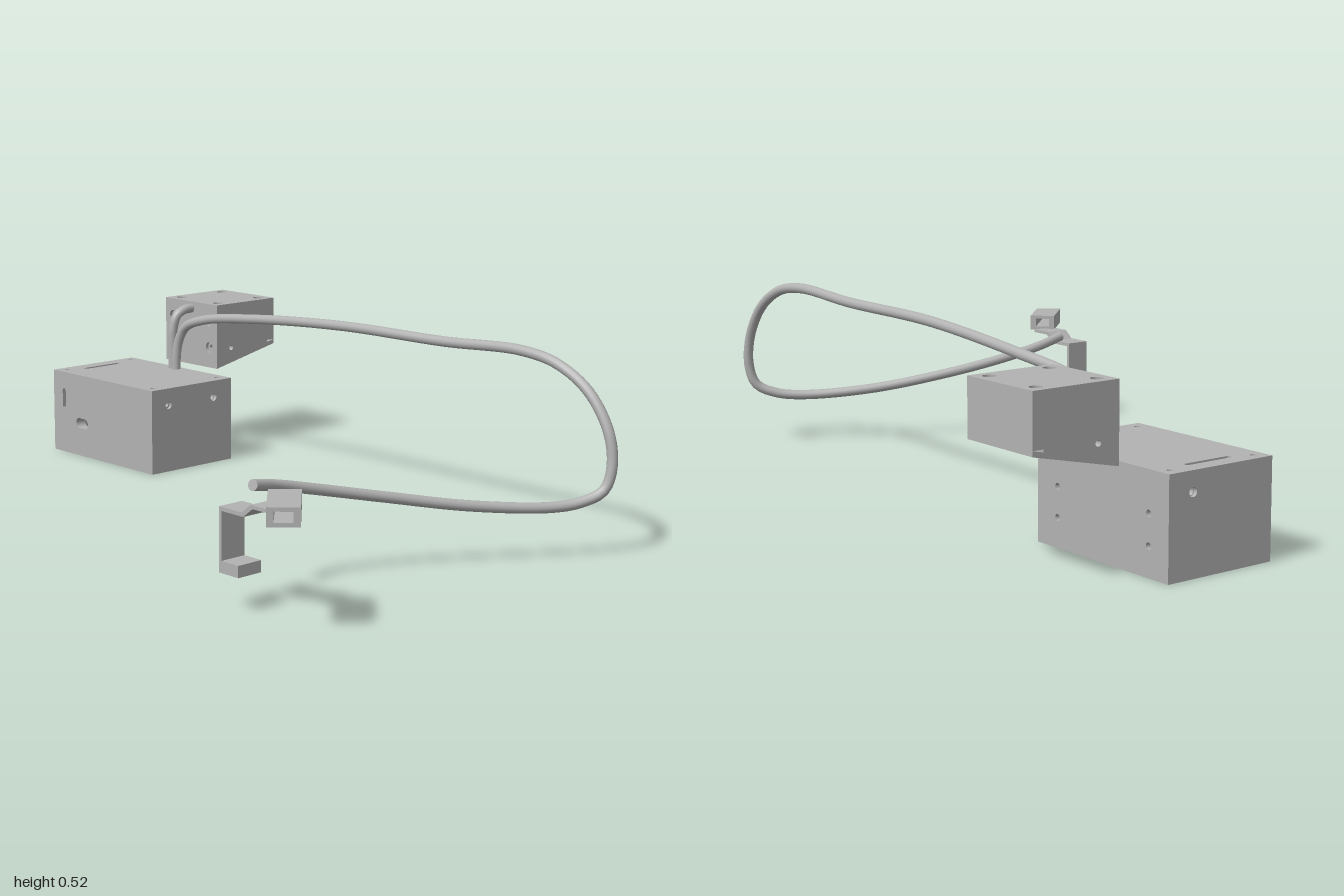
import * as THREE from 'three';

const grey = new THREE.MeshStandardMaterial({ color: 0xb2b2b2 });
grey.name = 'plain grey';

function add(parent, name, geometry) {
  const mesh = new THREE.Mesh(geometry, grey);
  mesh.name = name;
  parent.add(mesh);
  return mesh;
}

// Round-ended opening (a circle when w equals h)
function opening(u, v, w, h) {
  const r = Math.min(w, h) / 2, a = w / 2 - r, b = h / 2 - r;
  const p = new THREE.Path();
  const wide = w >= h;
  const s = wide ? 0 : Math.PI / 2;
  p.absarc(u + a, v + b, r, s - (wide ? Math.PI / 2 : Math.PI / 2), s + Math.PI / 2, false);
  p.absarc(u - a, v - b, r, s + Math.PI / 2, s + Math.PI * 1.5, false);
  p.closePath();
  return p;
}

function extrude(points, holes, depth) {
  const shape = new THREE.Shape(points.map(([u, v]) => new THREE.Vector2(u, v)));
  for (const h of holes) shape.holes.push(opening(...h));
  return new THREE.ExtrudeGeometry(shape, { depth, bevelEnabled: false, curveSegments: 10 });
}

const rect = (u0, u1, v0, v1) => [[u0, v0], [u1, v0], [u1, v1], [u0, v1]];

// Wall in absolute coordinates: z walls use (x, y), y walls (x, -z), x walls (-z, y).
// "at" is the lower coordinate; holes are [u, v, w, h, counterbore].
function wall(parent, name, axis, at, t, points, holes = [], outward = 1) {
  const g = new THREE.Group();
  g.name = name;
  const lip = 0.01;
  const inner = holes.map(([u, v, w, h]) => [u, v, w, h]);
  const outer = holes.map(([u, v, w, h, bore]) => [u, v, bore || w, bore || h]);
  const a = add(g, name + 'Core', extrude(points, inner, t - lip));
  const b = add(g, name + 'Skin', extrude(points, outer, lip));
  if (outward > 0) b.position.z = t - lip;
  else a.position.z = lip;
  if (axis === 'y') g.rotation.x = -Math.PI / 2;
  if (axis === 'x') g.rotation.y = Math.PI / 2;
  g.position[axis] = at;
  parent.add(g);
}

function cable(parent, name, pts, segments) {
  const curve = new THREE.CatmullRomCurve3(pts.map(p => new THREE.Vector3(...p)), false, 'centripetal');
  const r = 0.0145;
  add(parent, name, new THREE.TubeGeometry(curve, segments, r, 14, false));
  for (const [t, sign] of [[0, -1], [1, 1]]) {
    const cap = add(parent, name + 'End', new THREE.CircleGeometry(r, 14));
    cap.position.copy(curve.getPointAt(t));
    cap.quaternion.setFromUnitVectors(new THREE.Vector3(0, 0, 1), curve.getTangentAt(t).multiplyScalar(sign));
  }
}

export function createModel() {
  const model = new THREE.Group();
  model.name = 'cabledEnclosures';

  // Large housing, open underneath
  const base = new THREE.Group();
  base.name = 'largeHousing';
  model.add(base);
  const x0 = -1, x1 = -0.512, z0 = -0.445, z1 = -0.12, top = 0.26, t = 0.035;
  const corners = [];
  for (const x of [-0.968, -0.545]) for (const z of [-0.415, -0.152]) corners.push([x, -z, 0.016, 0.016]);
  wall(base, 'top', 'y', top - t, t, rect(x0, x1, -z1, -z0), [...corners, [-0.947, 0.277, 0.015, 0.145]]);
  wall(base, 'front', 'z', z1 - t, t, rect(x0, x1, 0, top - t),
    [[-0.947, 0.173, 0.016, 0.066], [-0.857, 0.105, 0.06, 0.032]]);
  const backHoles = [];
  for (const x of [-0.93, -0.59]) for (const y of [0.077, 0.155]) backHoles.push([x, y, 0.018, 0.018]);
  wall(base, 'back', 'z', z0, t, rect(x0, x1, 0, top - t), backHoles, -1);
  const side = rect(-z1 + t, -z0 - t, 0, top - t);
  const sideHoles = [[0.187, 0.208, 0.014, 0.014, 0.024], [0.371, 0.208, 0.02, 0.02, 0.024]];
  wall(base, 'leftSide', 'x', x1 - t, t, side, sideHoles);
  wall(base, 'rightSide', 'x', x0, t, side, [sideHoles[1]], -1);

  // Small housing with a sloping lid underneath
  const box = new THREE.Group();
  box.name = 'smallHousing';
  model.add(box);
  const a0 = -0.882, a1 = -0.634, b0 = -0.745, b1 = -0.495, high = 0.47, s = 0.03, lid = 0.014;
  const slope = z => 0.265 + (b1 - z) * 0.22;
  const screws = [];
  for (const x of [-0.846, -0.67]) for (const z of [-0.708, -0.532]) screws.push([x, -z, 0.016, 0.016, 0.033]);
  wall(box, 'top', 'y', high - s, s, rect(a0, a1, -b1, -b0), screws);
  const ports = [];
  for (const x of [-0.846, -0.67]) for (const y of [0.33, 0.415]) ports.push([x, y, 0.016, 0.016, 0.033]);
  wall(box, 'front', 'z', b1 - s, s, rect(a0, a1, slope(b1) + lid, high - s), ports);
  wall(box, 'back', 'z', b0, s, rect(a0, a1, slope(b0) + lid, high - s), [], -1);
  const cheek = [[-b1 + s, slope(b1 - s) + lid], [-b0 - s, slope(b0 + s) + lid], [-b0 - s, high - s], [-b1 + s, high - s]];
  wall(box, 'leftSide', 'x', a1 - s, s, cheek, [[0.557, 0.327, 0.016, 0.016]]);
  wall(box, 'rightSide', 'x', a0, s, cheek, [[0.557, 0.327, 0.016, 0.016]], -1);
  wall(box, 'lid', 'x', a0, a1 - a0,
    [[-b1, slope(b1)], [-b0, slope(b0)], [-b0, slope(b0) + lid], [-b1, slope(b1) + lid]]);

  // Short cable between the housings
  cable(model, 'shortCable', [
    [-0.768, 0.18, -0.425], [-0.768, 0.3, -0.425], [-0.765, 0.39, -0.425], [-0.76, 0.43, -0.437],
    [-0.757, 0.446, -0.465], [-0.757, 0.448, -0.51]], 40);

  // Long looping cable
  cable(model, 'longCable', [
    [-0.745, 0.18, -0.42], [-0.745, 0.3, -0.42], [-0.735, 0.355, -0.423], [-0.705, 0.4, -0.425],
    [-0.62, 0.432, -0.427], [-0.4, 0.461, -0.428], [0, 0.49, -0.413], [0.4, 0.495, -0.41],
    [0.68, 0.506, -0.407], [0.8, 0.485, -0.408], [0.9, 0.425, -0.412], [0.965, 0.33, -0.415],
    [0.982, 0.24, -0.413], [0.972, 0.178, -0.395], [0.94, 0.15, -0.345], [0.9, 0.141, -0.275],
    [0.79, 0.156, -0.09], [0.68, 0.198, 0.13], [0.622, 0.235, 0.3],
    [0.604, 0.262, 0.42], [0.618, 0.281, 0.515]], 180);

  // Bent clip: leg, step and upper strap in one profile
  const clip = new THREE.Group();
  clip.name = 'clip';
  model.add(clip);
  const strap = add(clip, 'strap', extrude([
    [0.629, 0.09], [0.638, 0.09], [0.638, 0.242], [0.713, 0.242], [0.745, 0.267], [0.81, 0.267],
    [0.81, 0.276], [0.738, 0.276], [0.708, 0.252], [0.629, 0.252]], [], 0.074));
  strap.position.z = 0.56;
  const foot = add(clip, 'foot', new THREE.BoxGeometry(0.058, 0.03, 0.074));
  foot.position.set(0.667, 0.105, 0.597);

  // Angled sleeve with a square passage
  const outline = new THREE.Shape(rect(-0.039, 0.039, -0.023, 0.023).map(p => new THREE.Vector2(...p)));
  outline.holes.push(new THREE.Path(rect(-0.022, 0.022, -0.013, 0.013).map(p => new THREE.Vector2(...p))));
  const sleeveShape = new THREE.ExtrudeGeometry(outline, { depth: 0.168, bevelEnabled: false });
  sleeveShape.translate(0, 0, -0.084);
  const sleeve = add(clip, 'sleeve', sleeveShape);
  sleeve.rotation.y = Math.PI / 4;
  sleeve.position.set(0.866, 0.296, 0.649);

  return model;
}
